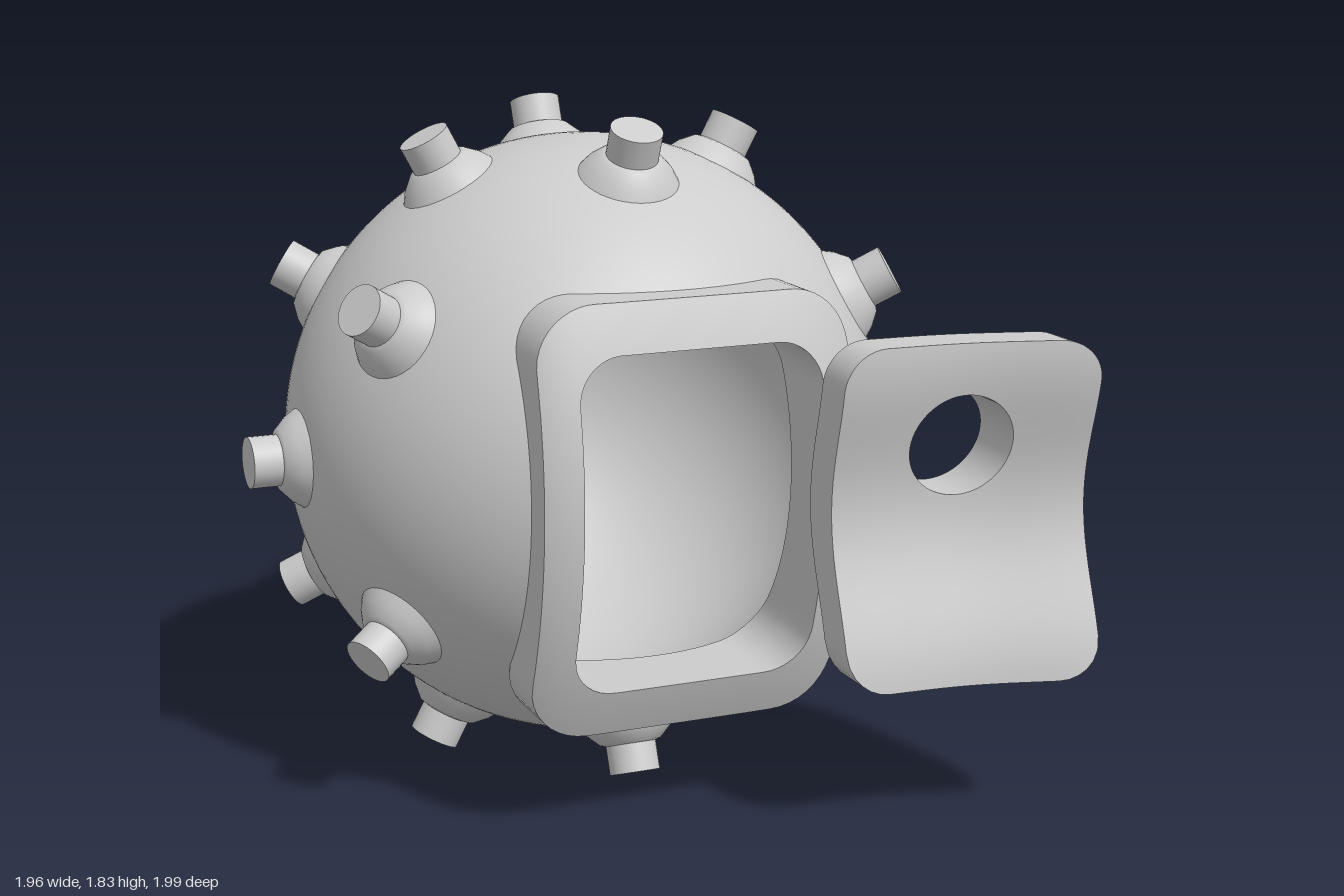
import * as THREE from 'three';

const steel = new THREE.MeshStandardMaterial({ color: 0xcccccc, side: THREE.DoubleSide });
steel.name = 'light grey steel';

const CX = -0.018, CY = 0.91, CZ = -0.13; // centre of the ball
const R = 0.835, R_IN = 0.72;             // outer and inner shell radius
const N = 160;                            // samples around every loop

function add(parent, name, geometry) {
  const mesh = new THREE.Mesh(geometry, steel);
  mesh.name = name;
  parent.add(mesh);
  return mesh;
}

// Closed loops joined into a smooth skin; point(angle, t) runs t = 0..1 over the rows
function loft(rows, point) {
  const pos = [], index = [];
  for (let j = 0; j <= rows; j++) {
    for (let i = 0; i < N; i++) pos.push(...point((i / N) * Math.PI * 2, j / rows));
  }
  for (let j = 0; j < rows; j++) {
    for (let i = 0; i < N; i++) {
      const a = j * N + i, b = j * N + (i + 1) % N, c = a + N, d = b + N;
      index.push(a, c, b, b, c, d);
    }
  }
  const g = new THREE.BufferGeometry();
  g.setAttribute('position', new THREE.Float32BufferAttribute(pos, 3));
  g.setIndex(index);
  g.computeVertexNormals();
  return g;
}

// Distance along a ray from (ox, oy) to the edge of a rounded rectangle
function roundedRect(ox, oy, cx, cy, hw, hh, r) {
  return (a) => {
    let lo = 0, hi = 2;
    for (let k = 0; k < 30; k++) {
      const m = (lo + hi) / 2;
      const qx = Math.abs(ox + m * Math.cos(a) - cx) - hw + r;
      const qy = Math.abs(oy + m * Math.sin(a) - cy) - hh + r;
      const d = Math.hypot(Math.max(qx, 0), Math.max(qy, 0)) + Math.min(Math.max(qx, qy), 0) - r;
      if (d < 0) lo = m; else hi = m;
    }
    return lo;
  };
}

// Curved plate with a hole: front and back are height rules z(x, y)
function ringPlate(name, ox, oy, inner, outer, front, back, outerBack = outer) {
  const group = new THREE.Group();
  group.name = name;
  const at = (a, rho, z) => {
    const x = ox + rho * Math.cos(a), y = oy + rho * Math.sin(a);
    return [x, y, z(x, y)];
  };
  const mix = (p, q, t) => p.map((v, k) => v + (q[k] - v) * t);
  const lerp = THREE.MathUtils.lerp;
  add(group, name + 'Front', loft(14, (a, t) => at(a, lerp(inner(a), outer(a), t), front)));
  add(group, name + 'Edge', loft(1, (a, t) => mix(at(a, outer(a), front), at(a, outerBack(a), back), t)));
  add(group, name + 'Back', loft(14, (a, t) => at(a, lerp(outerBack(a), inner(a), t), back)));
  add(group, name + 'Hole', loft(1, (a, t) => mix(at(a, inner(a), back), at(a, inner(a), front), t)));
  return group;
}

export function createModel() {
  const model = new THREE.Group();
  model.name = 'spikedBall';

  // Hollow ball, open at the front and with a round port at the back
  const opening = roundedRect(CX, CY, -0.018, 0.853, 0.333, 0.447, 0.12);
  const portR = 0.135;
  const onSphere = (r, a, th) => [
    CX + r * Math.sin(th) * Math.cos(a),
    CY + r * Math.sin(th) * Math.sin(a),
    CZ + r * Math.cos(th),
  ];
  add(model, 'outerShell', loft(56, (a, t) => onSphere(R, a,
    THREE.MathUtils.lerp(Math.asin(opening(a) / R), Math.PI - Math.asin(portR / R), t))));
  add(model, 'innerShell', loft(40, (a, t) => onSphere(R_IN, a,
    THREE.MathUtils.lerp(Math.PI, Math.asin(opening(a) / R_IN), t))));

  // Recessed port at the back
  const port = new THREE.Group();
  port.name = 'backPort';
  port.position.set(CX, CY, CZ);
  const wall = add(port, 'portWall', new THREE.CylinderGeometry(portR, portR, 0.1, 48, 1, true));
  wall.rotation.x = Math.PI / 2;
  wall.position.z = -0.775;
  const floor = add(port, 'portFloor', new THREE.CircleGeometry(portR, 48));
  floor.rotation.y = Math.PI;
  floor.position.z = -0.725;
  model.add(port);

  // Raised curved frame around the opening
  const frameFront = (x, y) => {
    const v = y - 0.853;
    return 0.72 + 0.055 * v - 0.4 * v * v - 7 * Math.abs(x - CX) ** 6;
  };
  const frameOuter = roundedRect(CX, CY, -0.018, 0.85, 0.427, 0.575, 0.16);
  model.add(ringPlate('frame', CX, CY, opening, frameOuter, frameFront,
    (x, y) => frameFront(x, y) - 0.17));

  // Wall of the opening, from the frame into the hollow
  add(model, 'openingWall', loft(1, (a, t) => {
    const rho = opening(a);
    const x = CX + rho * Math.cos(a), y = CY + rho * Math.sin(a);
    const zIn = CZ + Math.sqrt(R_IN * R_IN - rho * rho);
    return [x, y, THREE.MathUtils.lerp(zIn, frameFront(x, y), t)];
  }));

  // Door swung fully open, its outer side facing back
  const DX = 0.64, DY = 0.855, HY = 1.027;
  const doorFront = (x, y) => {
    const u = x - DX, v = y - DY;
    return 0.915 + 0.17 * u - 0.065 * v
      - 0.09 * Math.cos(Math.PI * v / 0.9) ** 2 - 0.025 * Math.cos(Math.PI * u / 0.7) ** 2;
  };
  const doorBack = (x, y) => doorFront(x, y) - 0.12;
  const door = new THREE.Group();
  door.name = 'door';
  door.add(ringPlate('doorPanel', DX, HY, () => 0.137,
    roundedRect(DX, HY, DX, DY, 0.338, 0.446, 0.11), doorFront, doorBack));
  door.add(ringPlate('windowRim', DX, HY, () => 0.137, () => 0.205, doorBack,
    (x, y) => doorBack(x, y) - 0.045, () => 0.19));
  model.add(door);

  // Studs: flared collar and short pin, all pointing away from the centre
  const dirs = [];
  for (const s of [-1, 1]) {
    dirs.push([s, 0, 0], [s * 0.56, 0, -0.83], [0, s * 0.51, -0.86]);
    for (const t of [-1, 1]) {
      dirs.push([0, s * 0.92, t * 0.39], [s * 0.475, t * 0.88, 0]);
      for (const w of [-1, 1]) dirs.push([s * 0.785, t * 0.485, w * 0.385]);
    }
  }
  const collar = new THREE.LatheGeometry(
    [[0.142, 0.812], [0.117, 0.85], [0.085, 0.881], [0.068, 0.886]].map((p) => new THREE.Vector2(...p)), 40);
  const pin = new THREE.CylinderGeometry(0.07, 0.07, 0.115, 32);
  pin.translate(0, 0.9075, 0);
  const up = new THREE.Vector3(0, 1, 0);
  for (const d of dirs) {
    const stud = new THREE.Group();
    stud.name = 'stud';
    stud.position.set(CX, CY, CZ);
    stud.quaternion.setFromUnitVectors(up, new THREE.Vector3(...d).normalize());
    add(stud, 'collar', collar);
    add(stud, 'pin', pin);
    model.add(stud);
  }
  return model;
}
